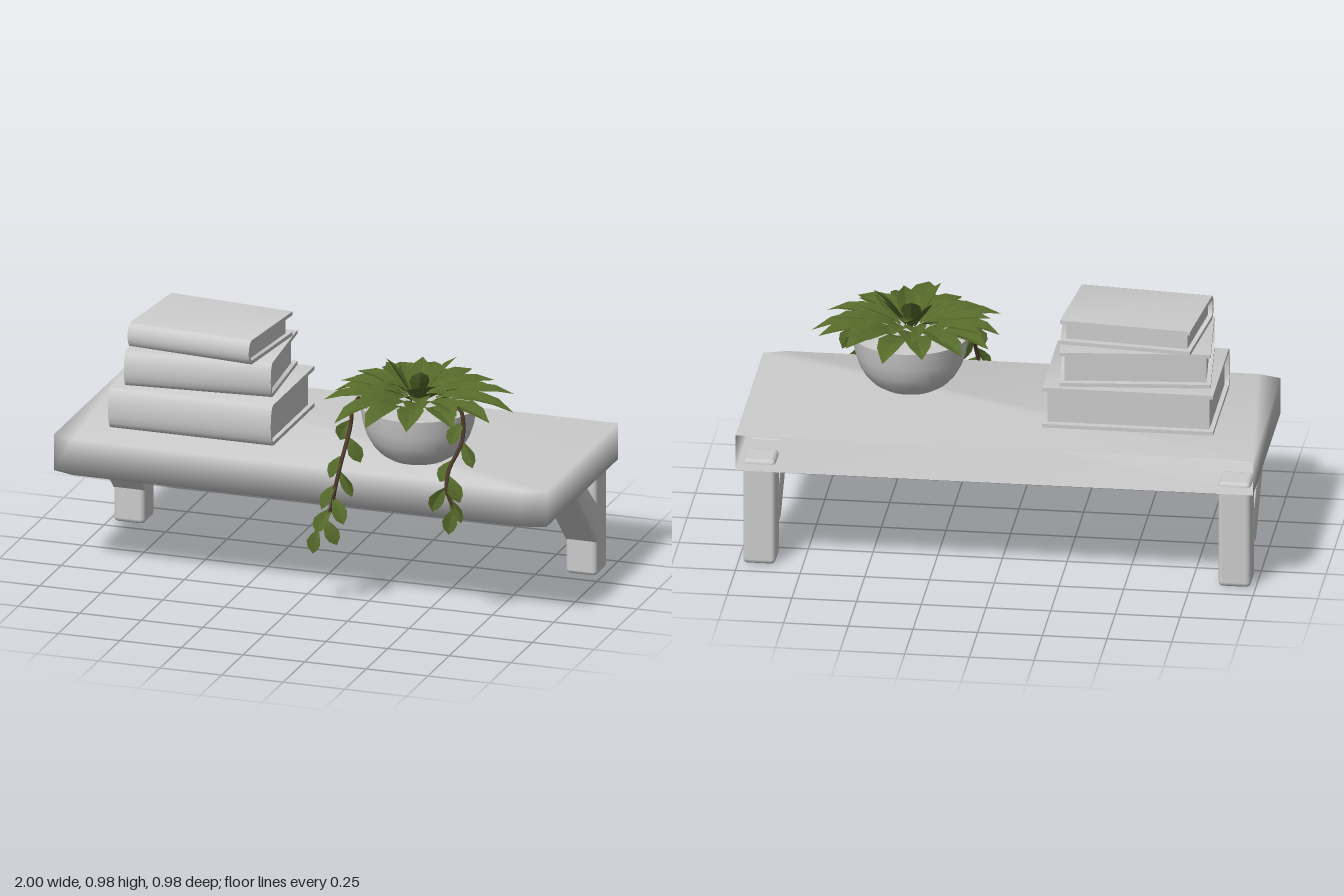
import * as THREE from 'three';
import { toCreasedNormals } from 'three/addons/utils/BufferGeometryUtils.js';
import { RoundedBoxGeometry } from 'three/addons/geometries/RoundedBoxGeometry.js';

const plain = new THREE.MeshStandardMaterial({ color: 0xcccccc, side: THREE.DoubleSide });
plain.name = 'pale grey';
const green = new THREE.MeshStandardMaterial({ color: 0x566b2b, side: THREE.DoubleSide });
green.name = 'leaf green';
const brown = new THREE.MeshStandardMaterial({ color: 0x4f3a2c });
brown.name = 'stem brown';

const V = (x, y, z) => new THREE.Vector3(x, y, z);

let seed = 7;
const rand = (a, b) => {
  seed = (seed * 16807) % 2147483647;
  return a + (b - a) * (seed / 2147483647);
};

function add(parent, name, geometry, material) {
  const mesh = new THREE.Mesh(geometry, material);
  mesh.name = name;
  parent.add(mesh);
  return mesh;
}

// Board with clipped front corners, soft normals and an open back
function boardGeometry() {
  const outline = [[-1, -0.5], [-1, 0.335], [-0.91, 0.365], [0.91, 0.365], [1, 0.335], [1, -0.5]];
  const n = outline.length, pos = [], idx = [];
  for (const y of [0.415, 0.56]) for (const [x, z] of outline) pos.push(x, y, z);
  for (let i = 0; i < n - 1; i++) {
    idx.push(i, i + 1, n + i + 1, i, n + i + 1, n + i);
    if (i > 0) idx.push(n, n + i, n + i + 1, 0, i + 1, i);
  }
  const g = new THREE.BufferGeometry();
  g.setAttribute('position', new THREE.Float32BufferAttribute(pos, 3));
  g.setIndex(idx);
  g.computeVertexNormals();
  return g;
}

// Extrudes a (z, y) profile along x, centred on x = 0
function alongX(points, width, bevel = 0) {
  const shape = new THREE.Shape(points.map(([z, y]) => new THREE.Vector2(z, y)));
  const g = new THREE.ExtrudeGeometry(shape, {
    depth: width - 2 * bevel, bevelEnabled: bevel > 0, bevelSize: bevel,
    bevelThickness: bevel, bevelOffset: -bevel, bevelSegments: 2,
  });
  g.translate(0, 0, -width / 2 + bevel);
  g.rotateY(-Math.PI / 2);
  return toCreasedNormals(g, 0.7);
}

// Wrap-around cover with a rounded spine at the front, plus an inset page block
function makeBook(name, w, h, d, x, y, z, turn) {
  const book = new THREE.Group();
  book.name = name;
  const t = 0.015, bulge = 0.03, steps = 8;
  const arc = (inset) => Array.from({ length: steps + 1 }, (_, i) => {
    const a = -Math.PI / 2 + (Math.PI * i) / steps;
    return [d / 2 - bulge + (bulge - inset) * Math.cos(a), h / 2 + (h / 2 - inset) * Math.sin(a)];
  });
  const cover = [[-d / 2, 0], ...arc(0), [-d / 2, h], [-d / 2, h - t], ...arc(t).reverse(), [-d / 2, t]];
  add(book, 'cover', alongX(cover, w), plain);
  const pages = new THREE.BoxGeometry(w - 0.035, h - 2 * t, d - 0.05);
  pages.translate(0, h / 2, 0.002);
  add(book, 'pages', pages, plain);
  book.position.set(x, y, z);
  book.rotation.y = turn;
  return book;
}

// Folded pointed leaf along a bent midrib, faceted
function leafGeometry(base, bend, tip, side, width) {
  const curve = new THREE.QuadraticBezierCurve3(base, bend, tip);
  const normal = side.clone().cross(tip.clone().sub(base)).normalize();
  const profile = [0.2, 0.7, 1, 0.75, 0], pos = [], idx = [];
  profile.forEach((s, i) => {
    const p = curve.getPoint(i / (profile.length - 1));
    for (const k of [-1, 0, 1]) {
      const q = p.clone().addScaledVector(side, (k * s * width) / 2);
      if (k === 0) q.addScaledVector(normal, -0.15 * s * width);
      pos.push(q.x, q.y, q.z);
    }
    if (i === profile.length - 1) return;
    for (const k of [0, 1]) {
      const a = i * 3 + k;
      idx.push(a, a + 1, a + 3, a + 1, a + 4, a + 3);
    }
  });
  const indexed = new THREE.BufferGeometry();
  indexed.setAttribute('position', new THREE.Float32BufferAttribute(pos, 3));
  indexed.setIndex(idx);
  const g = indexed.toNonIndexed();
  g.computeVertexNormals();
  return g;
}

function makeRosette() {
  const rosette = new THREE.Group();
  rosette.name = 'rosette';
  // count, then radius and height of base, bend and tip, then width
  const layers = [
    [14, 0.10, 0.79, 0.24, 0.87, 0.365, 0.785, 0.105],
    [13, 0.07, 0.80, 0.19, 0.88, 0.31, 0.835, 0.1],
    [10, 0.04, 0.80, 0.12, 0.88, 0.22, 0.86, 0.09],
    [6, 0.02, 0.80, 0.06, 0.88, 0.13, 0.895, 0.07],
  ];
  const leaf = (angle, r0, y0, r1, y1, r2, y2, w) => {
    const c = Math.cos(angle), s = Math.sin(angle);
    const at = (r, y) => V(0.4 + r * c, y, 0.115 + r * s);
    add(rosette, 'leaf', leafGeometry(at(r0, y0), at(r1, y1), at(r2, y2), V(-s, 0, c), w), green);
  };
  layers.forEach(([n, r0, y0, r1, y1, r2, y2, w], layer) => {
    for (let i = 0; i < n; i++) {
      const a = ((i + layer * 0.5) / n) * Math.PI * 2 + rand(-0.08, 0.08);
      leaf(a, r0, y0, r1, y1, r2 + rand(-0.025, 0.02), y2 + rand(-0.03, 0.02), w);
    }
  });
  // Young upright leaves
  for (const [a, r, y] of [[2.75, 0.12, 0.96], [-0.4, 0.15, 0.96], [-1.7, 0.1, 0.93], [1.1, 0.08, 0.93]]) {
    leaf(a, 0.02, 0.8, 0.05, 0.9, r, y, 0.08);
  }
  return rosette;
}

// Trailing stem with leaves alternating from side to side
function makeVine(name, points, count) {
  const vine = new THREE.Group();
  vine.name = name;
  const curve = new THREE.CatmullRomCurve3(points.map((p) => V(...p)));
  add(vine, 'stem', new THREE.TubeGeometry(curve, 20, 0.008, 5), brown);
  for (let i = 0; i < count; i++) {
    const t = 0.3 + (0.7 * i) / (count - 1), last = i === count - 1;
    const base = curve.getPoint(t);
    const sx = last ? -0.15 : i % 2 ? 0.45 : -0.45;
    const dir = V(sx, -0.85, rand(-0.05, 0.3)).normalize();
    const len = rand(0.09, 0.115);
    const tip = base.clone().addScaledVector(dir, len);
    const bend = base.clone().addScaledVector(dir, len / 2).add(V(sx * 0.04, 0, 0.025));
    const side = dir.clone().cross(V(rand(-0.7, 0.7), 0.2, 1)).normalize();
    add(vine, 'vineLeaf', leafGeometry(base, bend, tip, side, 0.06), green);
  }
  return vine;
}

export function createModel() {
  const model = new THREE.Group();
  model.name = 'shelfWithBooksAndPlant';
  add(model, 'shelfBoard', boardGeometry(), plain);

  // Wall posts with diagonal braces
  const brace = [[-0.03, 0.418], [-0.31, 0.13], [-0.34, 0.27], [-0.175, 0.418]];
  for (const s of [-1, 1]) {
    const bracket = new THREE.Group();
    bracket.name = s > 0 ? 'leftBracket' : 'rightBracket';
    const post = add(bracket, 'post', new RoundedBoxGeometry(0.125, 0.432, 0.13, 2, 0.018), plain);
    post.position.set(0, 0.216, -0.364);
    add(bracket, 'brace', alongX(brace, 0.136, 0.018), plain);
    bracket.position.x = s * 0.918;
    model.add(bracket);
  }

  // Stack of books
  model.add(makeBook('bottomBook', 0.66, 0.165, 0.51, -0.488, 0.565, -0.03, 0));
  model.add(makeBook('middleBook', 0.58, 0.14, 0.42, -0.493, 0.733, -0.037, 0.09));
  model.add(makeBook('topBook', 0.512, 0.098, 0.4, -0.49, 0.877, -0.022, -0.1));

  // Bowl with soil
  const bowl = [[0, 0.56], [0.115, 0.56], [0.147, 0.58], [0.175, 0.61], [0.198, 0.65], [0.214, 0.7],
    [0.225, 0.77], [0.21, 0.77], [0.2, 0.745], [0, 0.745]];
  const pot = new THREE.LatheGeometry(bowl.map(([r, y]) => new THREE.Vector2(r, y)), 32);
  add(model, 'bowl', toCreasedNormals(pot, 0.6), plain).position.set(0.4, 0, 0.103);

  // Plant
  model.add(makeRosette());
  model.add(makeVine('rightVine', [[0.28, 0.78, 0.2], [0.2, 0.82, 0.265], [0.185, 0.71, 0.28],
    [0.18, 0.6, 0.37], [0.165, 0.5, 0.4], [0.14, 0.4, 0.385], [0.085, 0.31, 0.375]], 9));
  model.add(makeVine('leftVine', [[0.52, 0.78, 0.2], [0.62, 0.82, 0.25], [0.64, 0.71, 0.28],
    [0.615, 0.61, 0.37], [0.62, 0.54, 0.405], [0.65, 0.47, 0.405]], 7));
  return model;
}
